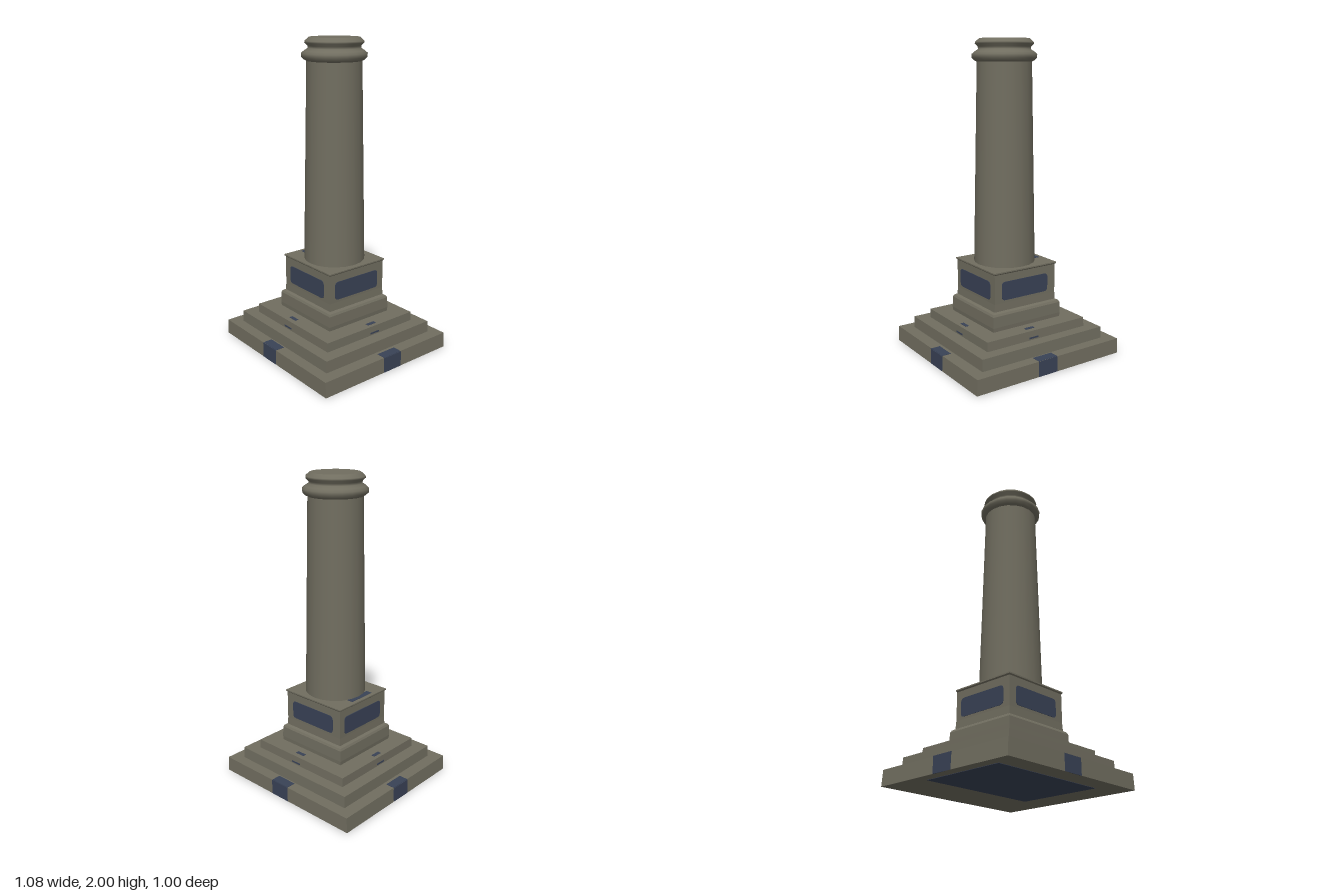
import * as THREE from 'three';

const stone = new THREE.MeshStandardMaterial({ color: 0x716e60 });
stone.name = 'stone';
const slate = new THREE.MeshStandardMaterial({ color: 0x394256 });
slate.name = 'slate blue';

// Rectangular stack of sections [halfX, y, halfZ], capped at both ends, hard edges
function loft(sections) {
  const pos = [];
  const ring = ([x, y, z]) => [[x, y, z], [x, y, -z], [-x, y, -z], [-x, y, z]];
  const quad = (a, b, c, d) => pos.push(...a, ...b, ...c, ...a, ...c, ...d);
  for (let i = 0; i < sections.length - 1; i++) {
    const lo = ring(sections[i]), hi = ring(sections[i + 1]);
    for (let k = 0; k < 4; k++) {
      const n = (k + 1) % 4;
      quad(lo[k], lo[n], hi[n], hi[k]);
    }
  }
  const b = ring(sections[0]), t = ring(sections[sections.length - 1]);
  quad(t[0], t[1], t[2], t[3]);
  quad(b[3], b[2], b[1], b[0]);
  const geo = new THREE.BufferGeometry();
  geo.setAttribute('position', new THREE.Float32BufferAttribute(pos, 3));
  geo.computeVertexNormals();
  return geo;
}

// Thin plate with rounded corners, standing in the xy plane
function roundedPlate(w, h, r, depth) {
  const x = w / 2, y = h / 2, s = new THREE.Shape();
  s.moveTo(-x + r, -y);
  s.lineTo(x - r, -y);
  s.quadraticCurveTo(x, -y, x, -y + r);
  s.lineTo(x, y - r);
  s.quadraticCurveTo(x, y, x - r, y);
  s.lineTo(-x + r, y);
  s.quadraticCurveTo(-x, y, -x, y - r);
  s.lineTo(-x, -y + r);
  s.quadraticCurveTo(-x, -y, -x + r, -y);
  return new THREE.ExtrudeGeometry(s, { depth, bevelEnabled: false, curveSegments: 4 });
}

export function createModel() {
  const model = new THREE.Group();
  model.name = 'columnMonument';

  function add(parent, name, geo, mat, x = 0, y = 0, z = 0) {
    const mesh = new THREE.Mesh(geo, mat);
    mesh.name = name;
    mesh.position.set(x, y, z);
    parent.add(mesh);
    return mesh;
  }

  // Three stepped slabs
  add(model, 'bottomStep', loft([[0.539, 0.002, 0.499], [0.534, 0.1, 0.498]]), stone);
  add(model, 'middleStep', loft([[0.455, 0.1, 0.427], [0.453, 0.175, 0.425]]), stone);
  add(model, 'topStep', loft([[0.371, 0.175, 0.352], [0.37, 0.234, 0.35]]), stone);

  // Pedestal with swollen foot and a fine lip
  add(model, 'pedestal', loft([
    [0.256, 0.234, 0.243], [0.259, 0.26, 0.245], [0.257, 0.33, 0.243],
    [0.25, 0.343, 0.236], [0.234, 0.352, 0.222], [0.231, 0.4, 0.22],
    [0.231, 0.585, 0.22], [0.238, 0.592, 0.226], [0.238, 0.6, 0.226],
  ]), stone);

  // Tapered round shaft
  add(model, 'shaft', new THREE.CylinderGeometry(0.17, 0.196, 1.27, 20, 1, true), stone, 0.008, 1.235, 0.002);

  // Moulded capital
  const profile = [
    [0.17, 1.86], [0.183, 1.866], [0.2, 1.882], [0.202, 1.905], [0.185, 1.92],
    [0.162, 1.935], [0.163, 1.95], [0.181, 1.967], [0.18, 1.978], [0.155, 2.0],
  ].map(([r, y]) => new THREE.Vector2(r, y));
  add(model, 'capital', new THREE.LatheGeometry(profile, 20), stone, 0.008, 0, 0.002);
  const cap = add(model, 'capitalTop', new THREE.CircleGeometry(0.155, 20), stone, 0.008, 2, 0.002);
  cap.rotation.x = -Math.PI / 2;

  // Dark panels and patches on each of the four sides
  ['front', 'left', 'back', 'right'].forEach((side, i) => {
    const g = new THREE.Group();
    g.name = side + 'Markings';
    g.rotation.y = i * Math.PI / 2;
    model.add(g);
    const onX = i % 2 === 1;
    const offset = [-0.033, 0.03, -0.03, 0.017][i];
    const baseEdge = onX ? 0.538 : 0.498;
    const stepEdge = onX ? 0.371 : 0.352;

    add(g, 'pedestalPanel', roundedPlate(0.35, 0.118, 0.025, 0.004), slate, -0.004, 0.476, onX ? 0.23 : 0.219);
    add(g, 'baseFacePatch', new THREE.BoxGeometry(0.14, 0.098, 0.004), slate, offset, 0.051, baseEdge);
    add(g, 'baseTopPatch', new THREE.BoxGeometry(0.138, 0.004, 0.06), slate, offset, 0.1, baseEdge - 0.032);
    add(g, 'stepFaceFleck', new THREE.BoxGeometry(0.07, 0.01, 0.004), slate, offset, 0.189, stepEdge);
    add(g, 'stepTopFleck', new THREE.BoxGeometry(0.065, 0.004, 0.024), slate, offset, 0.234, onX ? 0.333 : 0.305);
  });

  // Patches on the pedestal top and underneath the base
  add(model, 'pedestalTopPatch', new THREE.BoxGeometry(0.04, 0.004, 0.19), slate, -0.192, 0.6, 0.012);
  add(model, 'undersidePatch', new THREE.BoxGeometry(0.8, 0.004, 0.55), slate, -0.07, 0.002, 0.095);

  return model;
}
